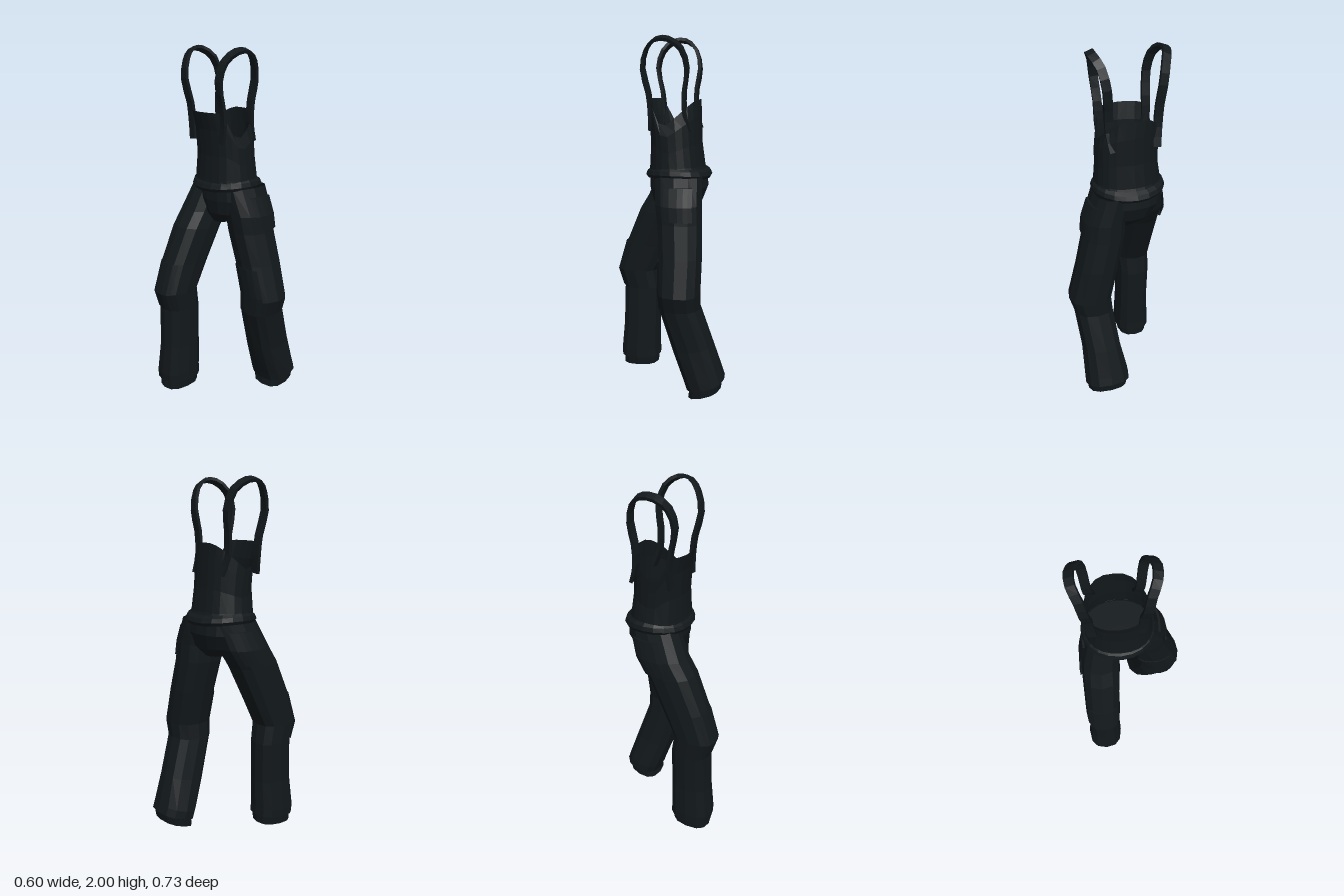
import * as THREE from 'three';

const material = new THREE.MeshStandardMaterial({ color: 0x12181b, flatShading: true, roughness: 0.9, side: THREE.DoubleSide });

// Skin a grid of points: rows run along the part, columns run around it
function skin(name, rows) {
  const cols = rows[0].length;
  const index = [];
  for (let i = 0; i < rows.length - 1; i++) {
    for (let j = 0; j < cols - 1; j++) {
      const a = i * cols + j, b = a + 1, c = a + cols, d = c + 1;
      index.push(a, b, c, b, d, c);
    }
  }
  const geometry = new THREE.BufferGeometry();
  geometry.setAttribute('position', new THREE.Float32BufferAttribute(rows.flat().flatMap(p => [p.x, p.y, p.z]), 3));
  geometry.setIndex(index);
  geometry.computeVertexNormals();
  const mesh = new THREE.Mesh(geometry, material);
  mesh.name = name;
  return mesh;
}

// Cross-sections, top to bottom: [y, x, z, radius x, radius z, slope along z]
function loft(name, rings, { from = 0, to = Math.PI * 2, sides = 12, grow = 0, power = 0.8, lift = () => 0 } = {}) {
  const bend = v => Math.sign(v) * Math.abs(v) ** power;
  return skin(name, rings.map(([y, x, z, rx, rz, slope = 0]) =>
    Array.from({ length: sides + 1 }, (_, j) => {
      const a = from + (to - from) * j / sides;
      const dz = bend(Math.sin(a)) * (rz + grow);
      return new THREE.Vector3(x + bend(Math.cos(a)) * (rx + grow), y + slope * dz + lift(a, y), z + dz);
    })));
}

// Interpolate a cross-section at height y
function sectionAt(rings, y) {
  const i = Math.max(1, rings.findIndex(r => r[0] <= y));
  const a = rings[i - 1], b = rings[i];
  const t = (a[0] - y) / (a[0] - b[0]);
  return a.map((v, k) => v + (b[k] - v) * t);
}

// Raised cloth patch following a leg, with its edges folded into the surface
function patch(name, rings, heights, from, to, thickness) {
  const sections = heights.map(y => sectionAt(rings, y));
  const puffed = sections.map(([y, x, z, rx, rz, s]) => [y, x, z, rx + thickness, rz + thickness, s]);
  return loft(name, [sections[0], ...puffed, sections.at(-1)], { from, to, sides: 5 });
}

// Flat strap swept over the shoulder
function strap(name, points, lean) {
  const curve = new THREE.CatmullRomCurve3(points.map(p => new THREE.Vector3(...p)));
  const steps = 22;
  const rows = [];
  for (let i = 0; i <= steps; i++) {
    const p = curve.getPoint(i / steps), t = curve.getTangent(i / steps);
    const w = new THREE.Vector3(1, lean, 0);
    w.addScaledVector(t, -w.dot(t)).normalize();
    const n = t.clone().cross(w);
    rows.push([[1, 1], [-1, 1], [-1, -1], [1, -1], [1, 1]].map(([u, v]) =>
      p.clone().addScaledVector(w, u * 0.023).addScaledVector(n, v * 0.009)));
  }
  return skin(name, rows);
}

export function createModel() {
  const model = new THREE.Group();
  model.name = 'bibOveralls';

  // Bib: front and back panels rise, the sides dip under the arms
  const topEdge = a => {
    const s = Math.sin(a);
    const f = s > 0 ? THREE.MathUtils.smoothstep(s, 0.15, 0.75) : Math.min(1, -s * 1.05);
    return 0.135 * f;
  };
  const bib = [
    [1.53, -0.075, -0.012, 0.165, 0.15],
    [1.47, -0.065, -0.025, 0.172, 0.142],
    [1.38, -0.062, -0.033, 0.172, 0.14],
    [1.3, -0.065, -0.038, 0.182, 0.152],
    [1.25, -0.065, -0.045, 0.188, 0.165],
  ];
  model.add(loft('bib', bib, {
    sides: 24, power: 0.9,
    lift: (a, y) => topEdge(a) * Math.max(0, (y - 1.3) / 0.23),
  }));
  model.add(loft('innerFloor', [
    [1.3, -0.068, -0.035, 0.175, 0.145],
    [1.3, -0.068, -0.035, 0, 0],
  ], { sides: 24, power: 0.9 }));

  // Rolled waistband, sagging a little at front and back
  model.add(loft('waistband', [
    [1.3, -0.067, -0.043, 0.18, 0.155],
    [1.285, -0.067, -0.046, 0.197, 0.175],
    [1.262, -0.067, -0.046, 0.203, 0.185],
    [1.245, -0.067, -0.046, 0.195, 0.175],
    [1.24, -0.067, -0.046, 0.17, 0.15],
  ], { sides: 20, power: 0.95, lift: a => -0.014 * Math.sin(a) ** 2 }));

  // Shoulder straps, mirrored about the shifted chest centre
  const strapPath = [
    [-0.2, 1.5, 0.088], [-0.212, 1.6, 0.085], [-0.214, 1.7, 0.095], [-0.225, 1.83, 0.124],
    [-0.242, 1.93, 0.098], [-0.27, 1.982, 0.04], [-0.274, 1.984, -0.03], [-0.248, 1.935, -0.095],
    [-0.227, 1.83, -0.124], [-0.217, 1.72, -0.108], [-0.21, 1.6, -0.108], [-0.195, 1.5, -0.14],
  ];
  model.add(strap('rightStrap', strapPath, 0.35));
  model.add(strap('leftStrap', strapPath.map(([x, y, z]) => [-0.157 - x, y, z]), -0.35));

  // Seat and crotch
  model.add(loft('seat', [
    [1.27, -0.065, -0.045, 0.175, 0.155],
    [1.18, -0.062, -0.05, 0.175, 0.158],
    [1.1, -0.055, -0.045, 0.14, 0.135],
    [1.045, -0.05, -0.035, 0.06, 0.09],
    [1.04, -0.05, -0.035, 0, 0],
  ], { sides: 16 }));

  // Legs in mid-stride: right forward, left back
  const rightLeg = [
    [1.25, -0.155, -0.035, 0.09, 0.135, 0],
    [1.1, -0.177, 0.025, 0.105, 0.145, 0],
    [1, -0.18, 0.088, 0.108, 0.135, 0.1],
    [0.8, -0.188, 0.178, 0.102, 0.13, 0.1],
    [0.64, -0.19, 0.24, 0.102, 0.12, 0],
    [0.53, -0.193, 0.215, 0.096, 0.11, 0],
    [0.3, -0.19, 0.22, 0.095, 0.112, 0],
    [0.13, -0.195, 0.23, 0.104, 0.12, -0.06],
  ];
  const leftLeg = [
    [1.25, 0.035, -0.07, 0.1, 0.135, 0],
    [1.1, 0.078, -0.083, 0.112, 0.13, 0],
    [1, 0.088, -0.092, 0.115, 0.125, 0],
    [0.82, 0.13, -0.108, 0.117, 0.12, 0],
    [0.62, 0.178, -0.115, 0.122, 0.116, 0],
    [0.53, 0.16, -0.117, 0.112, 0.113, -0.05],
    [0.3, 0.135, -0.188, 0.112, 0.112, -0.2],
    [0.13, 0.12, -0.245, 0.13, 0.104, -0.3],
  ];
  // Hem bulge, then a narrower lining ending in a closed sole
  const hem = rings => {
    const [y, x, z, rx, rz, s] = rings.at(-1);
    const dz = s * 0.1;
    return [
      [y - 0.045, x, z + dz * 0.5, rx, rz, s],
      [y - 0.05, x, z + dz * 0.5, rx - 0.012, rz - 0.012, s],
      [y - 0.096, x, z + dz * 0.3, rx - 0.017, rz - 0.012, s],
      [y - 0.096, x, z + dz * 0.3, 0, 0, s],
    ];
  };
  for (const [side, rings, outer, dir] of [['right', rightLeg, Math.PI, -1], ['left', leftLeg, 0, 1]]) {
    const leg = new THREE.Group();
    leg.name = side + 'Leg';
    leg.add(loft('trouserLeg', [...rings, ...hem(rings)]));
    // Hip pocket wraps the outer side toward the back
    leg.add(patch('hipPocket', rings, [1.2, 1.1, 1.02], outer - 0.7 * dir, outer + 0.3 * dir, 0.012));
    leg.add(patch('kneePatch', rings, [0.8, 0.64, 0.54], Math.PI * 0.25, Math.PI * 0.75, 0.004));
    model.add(leg);
  }
  return model;
}
